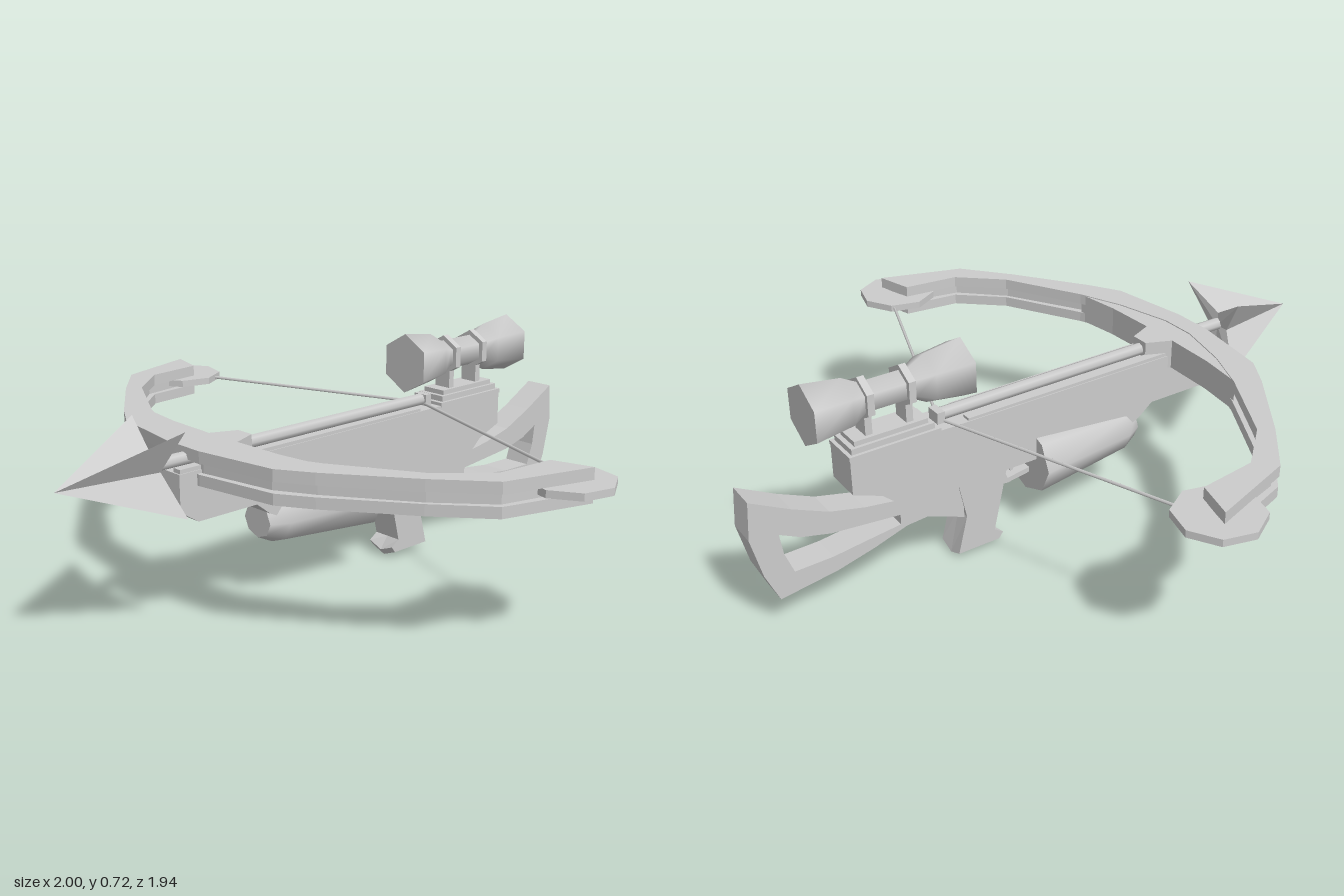
import * as THREE from 'three';
import { toCreasedNormals } from 'three/addons/utils/BufferGeometryUtils.js';

const flat = new THREE.MeshStandardMaterial({ color: 0xcccccc, flatShading: true, side: THREE.DoubleSide });
const smooth = new THREE.MeshStandardMaterial({ color: 0xcccccc, side: THREE.DoubleSide });

const points = (list) => list.map(([a, b]) => new THREE.Vector2(a, b));

export function createModel() {
  const model = new THREE.Group();

  const add = (name, geometry, material = flat) => {
    const mesh = new THREE.Mesh(geometry, material);
    mesh.name = name;
    model.add(mesh);
    return mesh;
  };

  // Side profile in x,y, extruded evenly about z = 0
  const profile = (outline, halfWidth, hole, steps = 1) => {
    const shape = new THREE.Shape(points(outline));
    if (hole) shape.holes.push(new THREE.Path(points(hole)));
    return new THREE.ExtrudeGeometry(shape, { depth: halfWidth * 2, bevelEnabled: false, steps })
      .translate(0, 0, -halfWidth);
  };

  // Plan outline in x,z, filling the height from y0 to y1
  const plate = (outline, y0, y1) =>
    new THREE.ExtrudeGeometry(new THREE.Shape(points(outline)), { depth: y1 - y0, bevelEnabled: false })
      .rotateX(Math.PI / 2).translate(0, y1, 0);

  // Turned part lying along x, profile given as [radius, x]
  const turned = (list, sides, y, crease = 1.2) =>
    toCreasedNormals(new THREE.LatheGeometry(points(list), sides, Math.PI / 2), crease)
      .rotateZ(-Math.PI / 2).translate(0, y, 0);

  const box = (name, x0, x1, y0, y1, halfWidth) =>
    add(name, new THREE.BoxGeometry(x1 - x0, y1 - y0, halfWidth * 2)
      .translate((x0 + x1) / 2, (y0 + y1) / 2, 0));

  const rod = (name, a, b, radius, sides) => {
    const path = new THREE.LineCurve3(new THREE.Vector3(...a), new THREE.Vector3(...b));
    return add(name, new THREE.TubeGeometry(path, 1, radius, sides), smooth);
  };

  // Body
  add('body', profile([
    [-0.65, 0.478], [-0.65, 0.37], [-0.59, 0.33], [-0.38, 0.33], [-0.33, 0.29], [-0.29, 0.272],
    [0.53, 0.272], [0.56, 0.3], [0.6, 0.335], [0.69, 0.37], [0.69, 0.482], [0.4, 0.482],
  ], 0.06));

  // Shoulder stock with its opening
  add('stock', profile([
    [0.33, 0.28], [0.325, 0.15], [0.45, 0.2], [0.52, 0.195], [0.63, 0.16], [0.75, 0.13], [0.93, 0.105],
    [0.97, 0.2], [1, 0.33], [0.99, 0.45], [0.87, 0.385], [0.76, 0.335], [0.65, 0.308], [0.53, 0.29],
  ], 0.047, [
    [0.54, 0.24], [0.76, 0.262], [0.85, 0.285], [0.914, 0.318], [0.905, 0.25], [0.88, 0.18], [0.76, 0.182],
    [0.65, 0.195], [0.54, 0.207],
  ]));

  // Grip with a keeled foot
  const grip = profile([
    [0.17, 0.28], [0.22, 0.065], [0.19, 0.045], [0.205, 0.025], [0.35, 0.025], [0.318, 0.15], [0.345, 0.28],
  ], 0.05, null, 2);
  const p = grip.attributes.position;
  for (let i = 0; i < p.count; i++) {
    if (Math.abs(p.getZ(i)) < 0.01 && p.getY(i) < 0.05) p.setY(i, p.getY(i) - 0.02);
  }
  add('grip', grip);

  // Trigger and guard
  add('trigger', profile([[0.115, 0.28], [0.125, 0.23], [0.135, 0.23], [0.14, 0.28]], 0.012));
  add('triggerGuard', profile([
    [0.06, 0.225], [0.06, 0.208], [0.15, 0.195], [0.19, 0.2], [0.185, 0.23], [0.16, 0.235], [0.15, 0.212],
  ], 0.02));

  // Tapered canister beneath the body
  add('canister', turned([
    [0, -0.33], [0.053, -0.33], [0.08, -0.275], [0.115, 0.07], [0, 0.07],
  ], 8, 0.254, 0.9).scale(1, 1, 1.1), smooth);

  // Bow limbs: two wide plates with a narrower core between them
  const mirrored = (list) => [...list, ...list.slice().reverse().map(([x, z]) => [x, -z])];
  const outer = [[-0.59, -0.07], [-0.55, -0.33], [-0.49, -0.43], [-0.325, -0.66], [-0.2, -0.81], [0.07, -0.895]];
  const inner = [[0.037, -0.775], [-0.145, -0.755], [-0.28, -0.635], [-0.42, -0.385], [-0.48, -0.24], [-0.525, -0.06]];
  const limb = mirrored([...outer, ...inner].reverse());
  add('upperLimbPlate', plate(limb, 0.5, 0.535));
  add('lowerLimbPlate', plate(limb, 0.435, 0.468));
  const core = outer.map(([x, z], i) => {
    const [u, v] = inner[inner.length - 1 - i];
    return [0.25, 0.75].map((t) => [x + (u - x) * t, z + (v - z) * t]);
  });
  add('limbCore', plate(mirrored([
    ...core.map((c) => c[0]), ...core.map((c) => c[1]).reverse(),
  ].reverse()), 0.465, 0.503));

  // Thick brace on the inside of the bow
  add('bowBrace', plate(mirrored([
    [-0.54, -0.06], [-0.49, -0.24], [-0.425, -0.385], [-0.445, -0.235], [-0.45, -0.064], [-0.37, -0.03],
  ]), 0.437, 0.532));

  // Wheels at the limb tips and the drawn string
  for (const side of [-1, 1]) {
    add('limbWheel', new THREE.CylinderGeometry(0.128, 0.128, 0.022, 8)
      .rotateY(0.13).translate(0.04, 0.488, side * 0.842));
    rod('bowString', [0.1, 0.488, side * 0.76], [0.375, 0.488, 0], 0.005, 5);
  }

  // Arrow shaft resting between two guide rails
  rod('arrowShaft', [-0.71, 0.5, 0], [0.37, 0.5, 0], 0.02, 8);
  for (const side of [-1, 1]) {
    add('guideRail', new THREE.BoxGeometry(0.95, 0.014, 0.03).translate(-0.17, 0.483, side * 0.042));
  }
  box('latch', 0.365, 0.39, 0.475, 0.518, 0.025);

  // Four-bladed arrowhead: a star pyramid with a swept-back base
  const star = [];
  for (let i = 0; i < 8; i++) {
    const a = (i * Math.PI) / 4;
    const r = i % 2 ? 0.172 : 0.045;
    star.push([i % 2 ? -0.67 : -0.7, 0.493 + r * Math.sin(a), r * Math.cos(a)]);
  }
  const faces = [];
  star.forEach((s, i) => {
    const next = star[(i + 1) % 8];
    faces.push(...[-1, 0.493, 0], ...s, ...next, ...[-0.7, 0.493, 0], ...next, ...s);
  });
  const head = new THREE.BufferGeometry();
  head.setAttribute('position', new THREE.Float32BufferAttribute(faces, 3));
  head.computeVertexNormals();
  add('arrowhead', head);

  // Stepped scope mount
  box('mountBase', 0.4, 0.692, 0.478, 0.492, 0.062);
  box('mountStep', 0.415, 0.68, 0.49, 0.51, 0.052);
  box('mountTop', 0.43, 0.665, 0.508, 0.525, 0.042);

  // Six-sided scope
  add('scope', turned([
    [0, 0.29], [0.095, 0.29], [0.078, 0.41], [0.05, 0.46], [0.05, 0.62], [0.078, 0.67], [0.095, 0.79], [0, 0.79],
  ], 6, 0.63), smooth);

  // Scope rings on posts
  for (const x of [0.482, 0.612]) {
    add('scopeRing', new THREE.CylinderGeometry(0.066, 0.066, 0.022, 6)
      .rotateZ(Math.PI / 2).rotateX(Math.PI / 2).translate(x, 0.63, 0));
    box('scopePost', x - 0.011, x + 0.011, 0.51, 0.6, 0.03);
  }

  return model;
}
